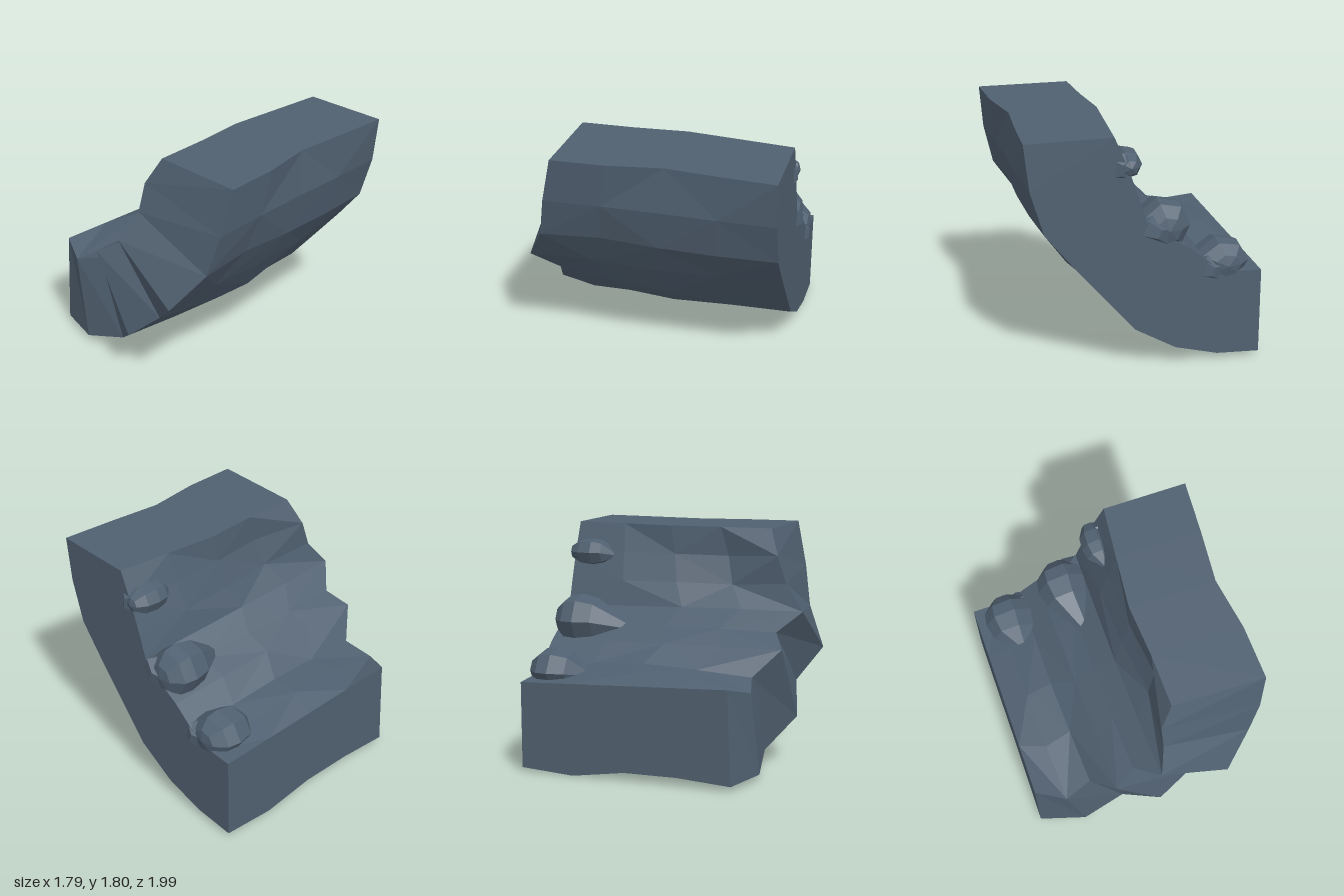
import * as THREE from 'three';

const stone = new THREE.MeshStandardMaterial({ color: 0x506070 });
stone.name = 'slate stone';

// Faceted mesh: split the faces so that each keeps its own normal
function faceted(geometry, name) {
  const g = geometry.index ? geometry.toNonIndexed() : geometry;
  g.computeVertexNormals();
  const mesh = new THREE.Mesh(g, stone);
  mesh.name = name;
  return mesh;
}

// Cross-sections from the low left end to the top right end
const innerBack = [[-0.9, 0.69], [-0.71, 0.7], [-0.51, 0.78], [-0.34, 0.92], [-0.17, 1.02], [-0.01, 1.15], [0.05, 1.34], [0.13, 1.57], [0.23, 1.8]];
const innerFront = [[-0.9, 0.75, 0.67], [-0.68, 0.69, 0.78], [-0.47, 0.76, 0.72], [-0.31, 0.95, 0.9], [-0.15, 1.05, 0.81],
  [0.02, 1.19, 0.97], [0.08, 1.39, 0.82], [0.08, 1.6, 0.75], [0.18, 1.8, 0.67]];
const outerBack = [[-0.9, 0.03], [-0.57, 0.05], [-0.24, 0.14], [0.07, 0.32], [0.31, 0.6], [0.54, 0.87], [0.74, 1.12], [0.84, 1.45], [0.88, 1.8]];
const outerFront = [[-0.9, 0.04, 0.7], [-0.55, 0.05, 0.81], [-0.21, 0.15, 0.75], [0.05, 0.37, 0.93], [0.31, 0.6, 0.85],
  [0.56, 0.83, 1.0], [0.77, 1.13, 0.83], [0.85, 1.45, 0.77], [0.89, 1.8, 0.69]];

// Outward unevenness of the three middle rings
const innerBump = [
  [0, 0.05, 0.02, 0.01, 0.01, 0.01, 0.02, 0, 0.03],
  [0, 0.1, 0.05, 0.01, 0.02, 0.02, 0, -0.03, 0.06],
  [0, 0.07, 0.03, 0, 0.02, 0.02, -0.05, -0.09, 0.02]];
const outerBump = [
  [0.03, 0, 0, 0.02, 0.03, 0.03, 0.01, 0, -0.03],
  [-0.03, -0.03, -0.01, 0.05, 0.09, 0.03, 0, -0.01, -0.07],
  [-0.03, -0.03, 0, 0.03, 0.06, 0, -0.03, -0.01, -0.01]];

function buildWall() {
  const rings = 5, n = 9, zBack = -0.96, positions = [];
  const point = (back, front, bump, sign, r, i) => {
    const t = r / (rings - 1);
    const b = r > 0 && r < rings - 1 ? sign * bump[r - 1][i] : 0;
    const angle = (i / (n - 1)) * Math.PI / 2;
    const mix = k => back[i][k] + (front[i][k] - back[i][k]) * t;
    return [mix(0) - b * Math.sin(angle), mix(1) + b * Math.cos(angle), zBack + (front[i][2] - zBack) * t];
  };
  // Each ring runs up the inner face and back down the outer face
  const loop = [];
  for (let r = 0; r < rings; r++) {
    const ring = [];
    for (let i = 0; i < n; i++) ring.push(point(innerBack, innerFront, innerBump, 1, r, i));
    for (let i = n - 1; i >= 0; i--) ring.push(point(outerBack, outerFront, outerBump, -1, r, i));
    loop.push(ring);
  }
  const quad = (a, b, c, d) => positions.push(...a, ...b, ...c, ...a, ...c, ...d);
  const m = 2 * n, last = loop[rings - 1], first = loop[0];
  for (let r = 0; r < rings - 1; r++) {
    for (let i = 0; i < m; i++) {
      const j = (i + 1) % m;
      const a = loop[r][i], b = loop[r + 1][i], c = loop[r + 1][j], d = loop[r][j];
      if ((r + i) % 2) quad(a, b, c, d);
      else quad(b, c, d, a);
    }
  }
  // Folded front end and flat back end
  for (let i = 0; i < n - 1; i++) {
    const o = m - 1 - i;
    quad(last[i], last[o], last[o - 1], last[i + 1]);
    quad(first[i + 1], first[o - 1], first[o], first[i]);
  }
  const g = new THREE.BufferGeometry();
  g.setAttribute('position', new THREE.Float32BufferAttribute(positions, 3));
  return faceted(g, 'curvedRockWall');
}

// Egg-shaped boulder whose narrow end points forward and sinks into the wall
function buildBoulder(x, y, z, rx, ry, tail, name) {
  const shoulder = Math.min(0.14, tail * 0.5);
  const profile = [[0, -0.2], [0.5, -0.18], [0.92, -0.1], [1, 0], [0.85, shoulder], [0.2, tail], [0, tail]]
    .map(([r, h]) => new THREE.Vector2(r, h));
  const g = new THREE.LatheGeometry(profile, 7, 2.9).rotateX(Math.PI / 2).scale(rx, ry, 1);
  const p = g.attributes.position;
  for (let i = 0; i < p.count; i++) {
    const forward = Math.max(0, p.getZ(i) - shoulder);
    p.setXY(i, p.getX(i) + forward * 0.25, p.getY(i) - forward * 0.25);
  }
  const mesh = faceted(g, name);
  mesh.position.set(x, y, z);
  return mesh;
}

function buildPebble(x, y, z, rx, ry, rz, tilt, name) {
  const mesh = faceted(new THREE.DodecahedronGeometry(1, 0).scale(rx, ry, rz), name);
  mesh.position.set(x, y, z);
  mesh.rotation.z = tilt;
  return mesh;
}

export function createModel() {
  const model = new THREE.Group();
  model.name = 'curvedRockPiece';
  model.add(buildWall());

  // Boulders along the back edge
  model.add(buildBoulder(-0.64, 0.75, -0.78, 0.2, 0.17, 0.26, 'lowBoulder'));
  model.add(buildBoulder(-0.18, 1.07, -0.78, 0.2, 0.2, 0.39, 'middleBoulder'));
  model.add(buildBoulder(0.11, 1.57, -0.79, 0.11, 0.11, 0.17, 'highBoulder'));

  // Small stones poking through the back
  model.add(buildPebble(-0.52, 0.72, -0.9, 0.14, 0.1, 0.09, 0.3, 'lowPebble'));
  model.add(buildPebble(-0.1, 1.06, -0.9, 0.19, 0.1, 0.1, 0.4, 'middlePebble'));
  model.add(buildPebble(0.18, 1.56, -0.9, 0.09, 0.11, 0.09, 0.1, 'highPebble'));
  return model;
}
